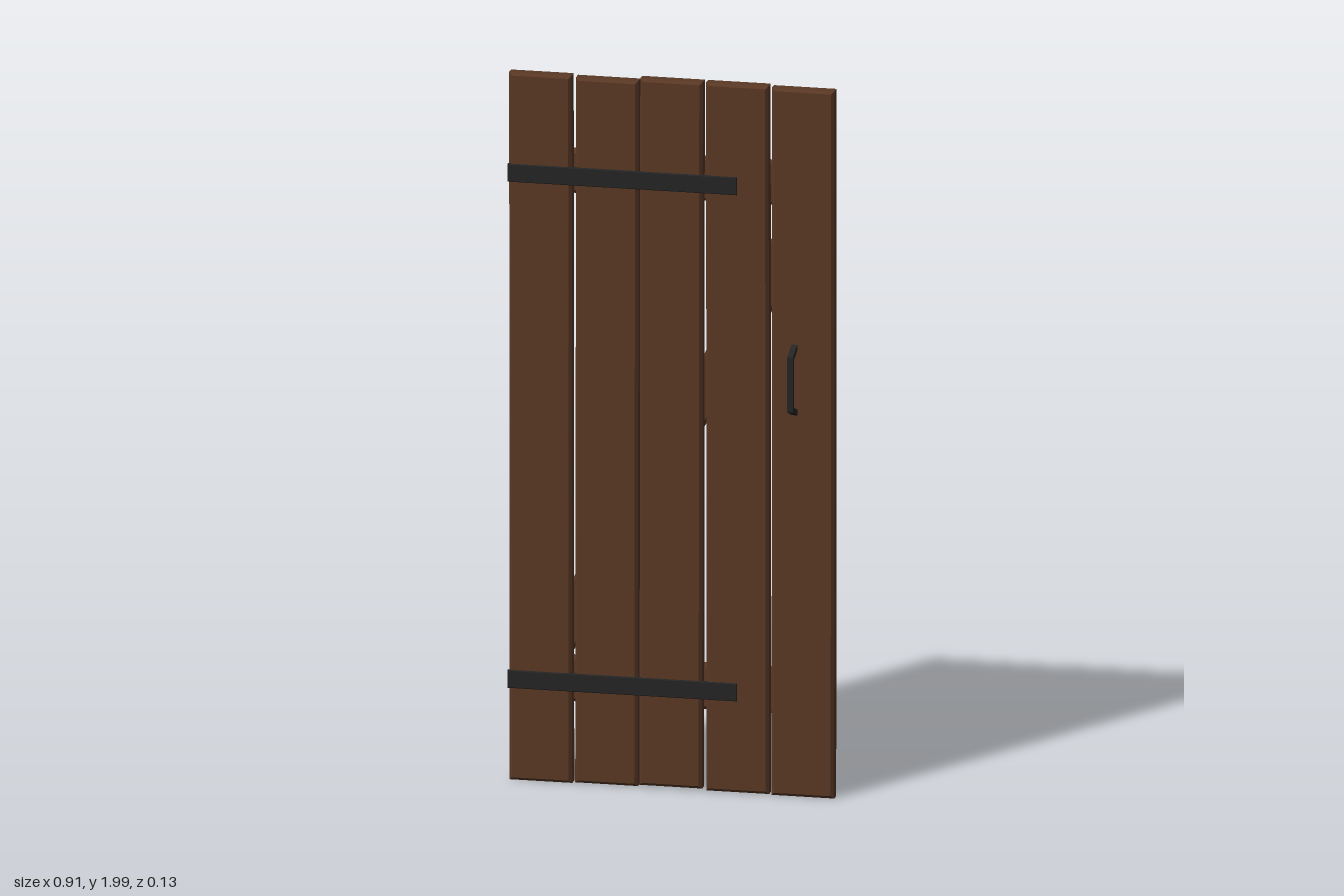
import * as THREE from 'three';

const wood = new THREE.MeshStandardMaterial({ color: 0x593825 });
wood.name = 'dark wood';
const iron = new THREE.MeshStandardMaterial({ color: 0x242424 });
iron.name = 'black iron';

// Board with chamfered edges, centred on its own origin
function board(name, w, h, d, bevel, material) {
  const x = w / 2 - bevel, y = h / 2 - bevel;
  const shape = new THREE.Shape([[-x, -y], [x, -y], [x, y], [-x, y]].map(p => new THREE.Vector2(...p)));
  const geo = new THREE.ExtrudeGeometry(shape, {
    depth: d - 2 * bevel, bevelEnabled: true, bevelSize: bevel, bevelThickness: bevel, bevelSegments: 1,
  });
  geo.translate(0, 0, bevel - d / 2);
  const mesh = new THREE.Mesh(geo, material);
  mesh.name = name;
  return mesh;
}

export function createModel() {
  const door = new THREE.Group();
  door.name = 'plankDoor';
  const add = (mesh, x, y, z, turn = 0) => {
    mesh.position.set(x, y, z);
    mesh.rotation.z = turn;
    door.add(mesh);
  };

  // Five upright planks, slightly uneven: centre x, bottom, top, tilt, z
  [
    [-0.366, 0.006, 1.996, 0.0008, -0.014],
    [-0.182, 0.008, 1.992, -0.0012, -0.015],
    [-0.003, 0.012, 2.0, -0.001, -0.014],
    [0.182, 0.008, 2.0, 0.0006, -0.013],
    [0.364, 0.006, 1.996, -0.0005, -0.014],
  ].forEach(([x, y0, y1, tilt, z], i) =>
    add(board('plank' + (i + 1), 0.174, y1 - y0, 0.041, 0.008, wood), x, (y0 + y1) / 2, z, tilt));

  // Back rails
  add(board('topRail', 0.846, 0.125, 0.028, 0.01, wood), 0.002, 1.717, -0.049);
  add(board('bottomRail', 0.846, 0.13, 0.028, 0.01, wood), 0.002, 0.289, -0.049);

  // Diagonal brace between the rails
  const a = new THREE.Vector2(-0.345, 0.362), b = new THREE.Vector2(0.365, 1.632);
  const run = b.clone().sub(a);
  add(board('diagonalBrace', 0.1, run.length(), 0.025, 0.007, wood),
    (a.x + b.x) / 2, (a.y + b.y) / 2, -0.0465, run.angle() - Math.PI / 2);

  // Hinge straps
  for (const [name, y] of [['topHingeStrap', 1.715], ['bottomHingeStrap', 0.291]]) {
    add(board(name, 0.638, 0.05, 0.012, 0.002, iron), -0.137, y, 0.006);
  }

  // Bent pull handle: side outline swept across its width
  const outline = [
    [0, 1.28], [0.061, 1.257], [0.061, 1.103], [0, 1.078],
    [0, 1.094], [0.048, 1.113], [0.048, 1.247], [0, 1.265],
  ].map(([z, y]) => new THREE.Vector2(-z, y));
  const handleGeo = new THREE.ExtrudeGeometry(new THREE.Shape(outline), { depth: 0.016, bevelEnabled: false });
  handleGeo.rotateY(Math.PI / 2);
  const handle = new THREE.Mesh(handleGeo, iron);
  handle.name = 'pullHandle';
  add(handle, 0.334, 0, 0.002);

  return door;
}
